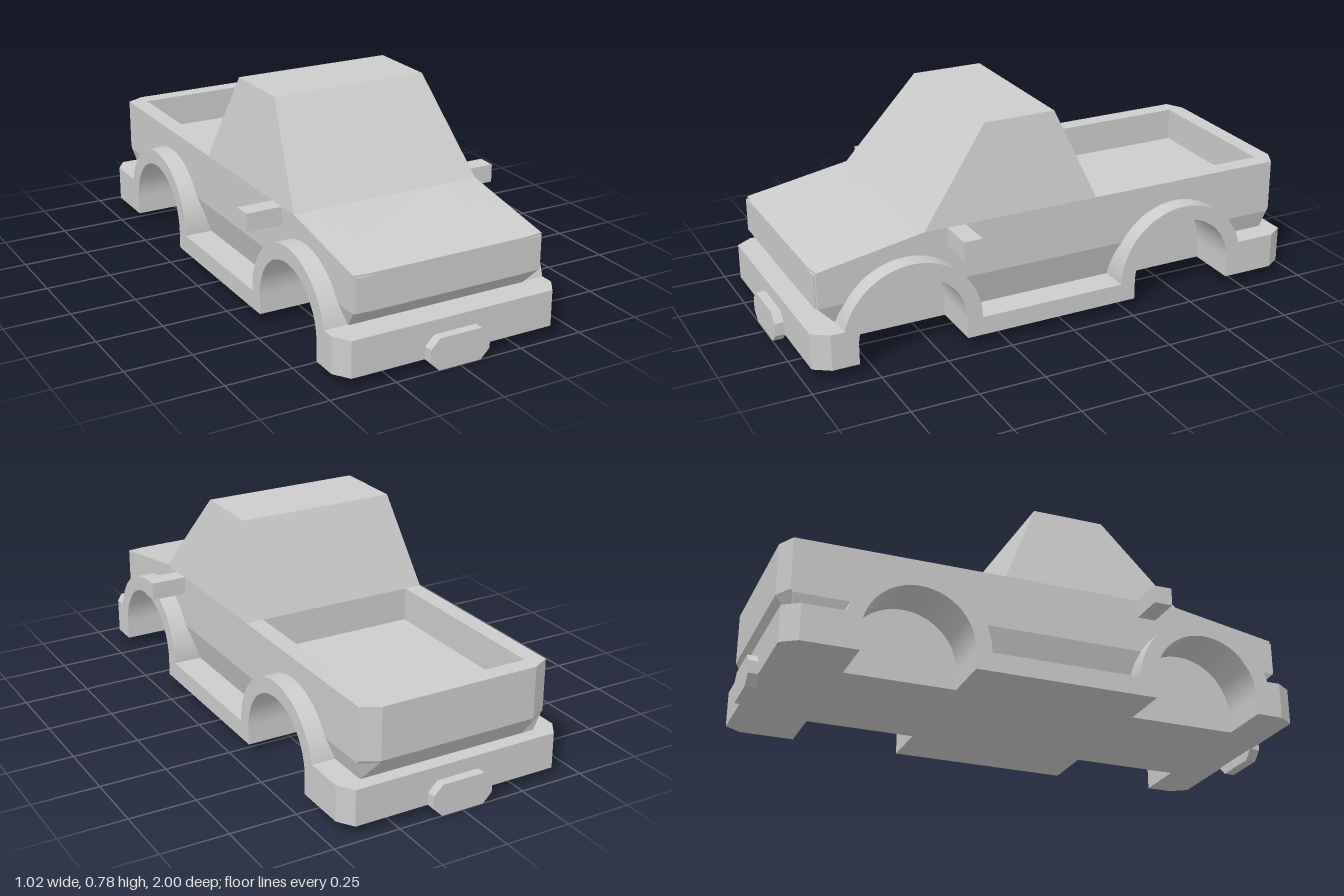
import * as THREE from 'three';
import { toCreasedNormals } from 'three/addons/utils/BufferGeometryUtils.js';

const FRONT = 0.6, REAR = -0.495, AXLE_Y = 0.105; // wheel centres
const WELL = 0.205, FLARE = 0.263;                // inner and outer arch radius
const SIDE = 0.372;                               // half width of the body

export function createModel() {
  const group = new THREE.Group();
  const paint = new THREE.MeshStandardMaterial({ color: 0xcccccc });
  paint.name = 'lightGrey';

  const add = (name, geometry) => {
    const mesh = new THREE.Mesh(geometry, paint);
    mesh.name = name;
    group.add(mesh);
    return mesh;
  };

  // Shape through [z, y] points
  const polygon = (points) => new THREE.Shape(points.map(([z, y]) => new THREE.Vector2(z, y)));

  // Extrude a side profile from x0 to x1, optionally moving vertices by a rule
  const slab = (shape, x0, x1, rule) => {
    const geo = new THREE.ExtrudeGeometry(shape, { depth: x1 - x0, bevelEnabled: false, curveSegments: 28 });
    geo.rotateY(-Math.PI / 2).translate(x1, 0, 0);
    if (rule) {
      const p = geo.attributes.position, v = new THREE.Vector3();
      for (let i = 0; i < p.count; i++) {
        v.fromBufferAttribute(p, i);
        rule(v);
        p.setXYZ(i, v.x, v.y, v.z);
      }
    }
    return toCreasedNormals(geo, 0.5);
  };

  const pair = (name, shape, x0, x1, rule) => {
    add(name + 'Left', slab(shape, x0, x1, rule));
    add(name + 'Right', slab(shape, -x1, -x0, rule));
  };

  // Underside running from rear to front with both wheel wells cut out
  const wellEdge = (s) => {
    for (const z of [REAR, FRONT]) {
      s.lineTo(z - WELL, 0.035);
      s.lineTo(z - WELL, AXLE_Y);
      s.absarc(z, AXLE_Y, WELL, Math.PI, 0, true);
      s.lineTo(z + WELL, 0.035);
    }
    return s;
  };

  // Central body: bumpers, hood and open bed in one profile
  const bodyPoints = [
    [0.965, 0.035], [0.965, 0.17], [0.86, 0.17], [0.93, 0.24], [0.93, 0.375], [0.525, 0.445],
    [-0.155, 0.445], [-0.155, 0.318], [-0.9, 0.318], [-0.9, 0.445],
    [-0.965, 0.445], [-0.965, 0.25], [-0.91, 0.17], [-0.965, 0.17], [-0.965, 0.035],
  ];
  add('bodyCore', slab(polygon(bodyPoints), -0.24, 0.24));
  pair('innerBody', wellEdge(polygon(bodyPoints)), 0.24, 0.305);

  // Outer body sides above the crease, with chamfered tail corners
  const upper = polygon([
    [0.93, 0.24], [0.93, 0.375], [0.525, 0.445], [-0.965, 0.445], [-0.965, 0.25], [-0.958, 0.24],
  ]);
  const a = Math.asin(0.135 / 0.23);
  upper.absarc(REAR, AXLE_Y, 0.23, Math.PI - a, a, true);
  upper.absarc(FRONT, AXLE_Y, 0.23, Math.PI - a, a, true);
  const trimEnds = (v) => {
    if (Math.abs(v.x) < 0.37) return;
    if (v.z < -0.95) v.z += 0.035;
    if (v.z > 0.92) v.z -= 0.008;
  };
  pair('bodySide', upper, 0.305, SIDE, trimEnds);

  // Lower body sides, tucked in below the crease
  const tuck = (v) => {
    trimEnds(v);
    if (Math.abs(v.x) > 0.37) v.x -= Math.sign(v.x) * (0.24 - v.y) * 0.3;
  };
  const lowerParts = {
    lowerNose: [[0.8, 0.24], [0.93, 0.24], [0.86, 0.17], [0.83, 0.17]],
    lowerDoor: [[0.4, 0.24], [0.365, 0.105], [-0.26, 0.105], [-0.295, 0.24]],
    lowerTail: [[-0.7, 0.24], [-0.725, 0.17], [-0.91, 0.17], [-0.958, 0.24]],
  };
  for (const [name, points] of Object.entries(lowerParts)) pair(name, polygon(points), 0.305, SIDE, tuck);

  // Bumper ends, sills and wheel arch flares
  const trim = new THREE.Shape();
  const b = Math.asin(0.065 / FLARE);
  trim.moveTo(0.965, 0.035);
  trim.lineTo(0.965, 0.17);
  trim.absarc(FRONT, AXLE_Y, FLARE, b, Math.PI, false);
  trim.absarc(REAR, AXLE_Y, FLARE, 0, Math.PI - b, false);
  trim.lineTo(-0.965, 0.17);
  trim.lineTo(-0.965, 0.035);
  wellEdge(trim);
  pair('archInner', trim, 0.305, 0.4);
  pair('archFlare', trim, 0.4, 0.44, (v) => {
    if (Math.abs(v.x) > 0.43 && Math.abs(v.z) > 0.95) v.z = Math.sign(v.z) * 0.905;
  });

  // Cab: a box tapered towards the roof
  const cab = new THREE.BoxGeometry(1, 1, 1);
  const p = cab.attributes.position;
  for (let i = 0; i < p.count; i++) {
    const top = p.getY(i) > 0, front = p.getZ(i) > 0;
    const x = Math.sign(p.getX(i)) * (top ? 0.305 : SIDE);
    const z = top ? (front ? 0.26 : -0.015) : (front ? 0.525 : -0.155);
    p.setXYZ(i, x, top ? 0.78 : 0.444, z);
  }
  cab.computeVertexNormals();
  add('cab', cab);

  // Door mirrors and headlights
  for (const [side, s] of [['Left', 1], ['Right', -1]]) {
    add('mirror' + side, new THREE.BoxGeometry(0.15, 0.068, 0.07)).position.set(s * 0.433, 0.41, 0.402);
    add('headlight' + side, new THREE.BoxGeometry(0.085, 0.125, 0.006)).position.set(s * 0.324, 0.305, 0.928);
  }

  // Octagonal number plates, front and rear
  const plate = new THREE.Shape([
    [-0.083, 0], [0.083, 0], [0.118, 0.035], [0.118, 0.083],
    [0.083, 0.118], [-0.083, 0.118], [-0.118, 0.083], [-0.118, 0.035],
  ].map(([x, y]) => new THREE.Vector2(x, y)));
  const plateGeo = new THREE.ExtrudeGeometry(plate, { depth: 0.04, bevelEnabled: false });
  add('frontPlate', plateGeo).position.z = 0.96;
  add('rearPlate', plateGeo).position.z = -1;

  return group;
}
